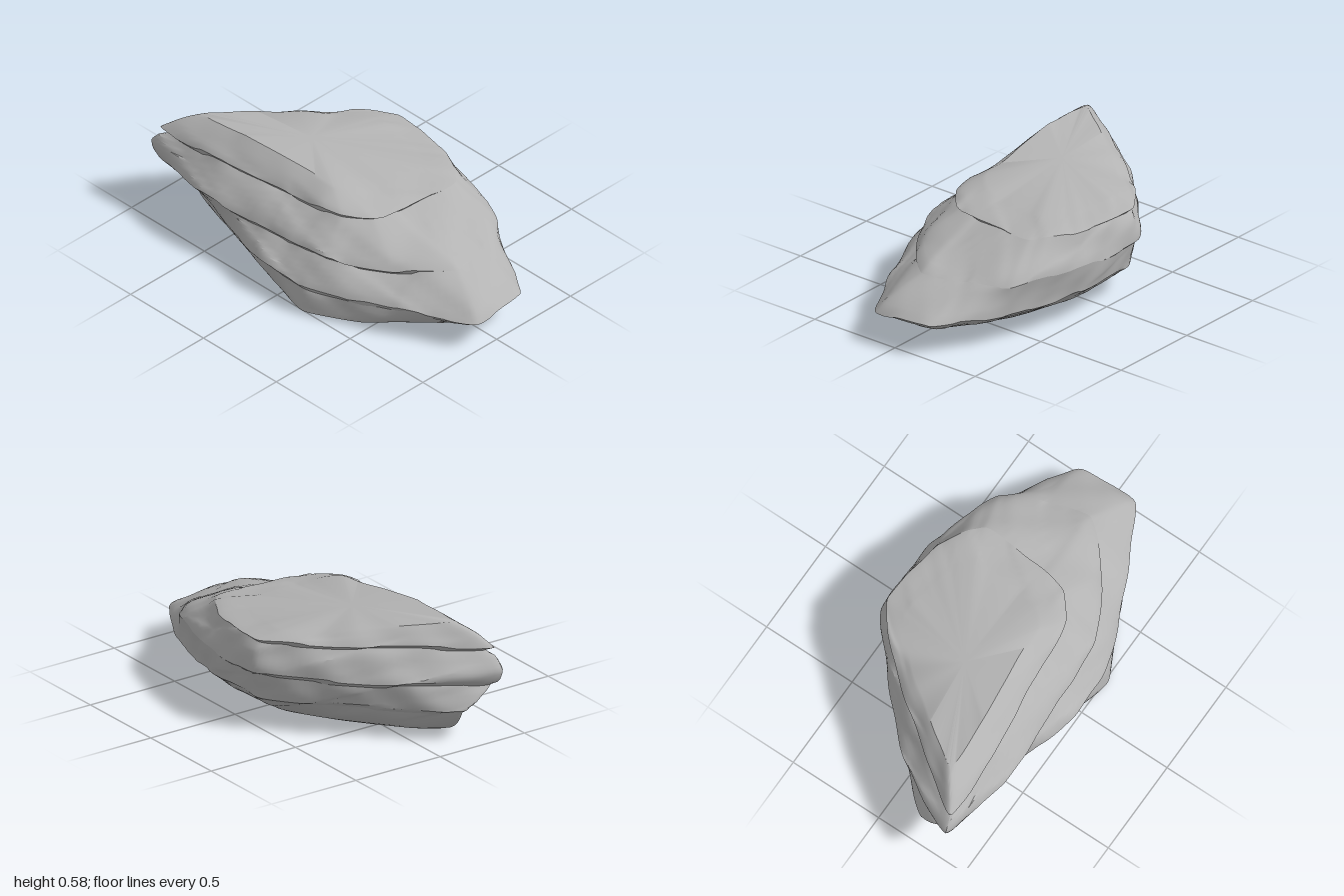
import * as THREE from 'three';
import { toCreasedNormals } from 'three/addons/utils/BufferGeometryUtils.js';

const { lerp, smoothstep } = THREE.MathUtils;
const AROUND = 144; // samples around each ring
const ROWS = 8; // bands up each layer

// Softly rounded closed outline through x,z pairs: left tip, front, right end, back
function outline(...xz) {
  const pts = [];
  for (let i = 0; i < xz.length; i += 2) pts.push(new THREE.Vector3(xz[i], 0, xz[i + 1]));
  const curve = new THREE.CatmullRomCurve3(pts, true, 'catmullrom', 0.25);
  return Array.from({ length: AROUND }, (_, i) => curve.getPoint(i / AROUND));
}

// Worn stone: gentle bumps plus stepped breaks that run along the ledges
function weather({ x, y, z }) {
  const bump = 0.004 * Math.sin(9 * x + 14 * y + 3 * z) + 0.004 * Math.sin(17 * z - 11 * x + 23 * y)
    + 0.002 * Math.sin(31 * x + 19 * z + 40 * y);
  const steps = Math.tanh(5 * Math.sin(8 * x - 5 * z + 30 * y)) + 0.6 * Math.tanh(5 * Math.sin(19 * x + 13 * z + 17 * y));
  const breaks = smoothstep(y, 0.03, 0.13) * (1 - smoothstep(y, 0.46, 0.52));
  const r = Math.hypot(x, z);
  return new THREE.Vector3(x + (x / r) * bump, y + 0.006 * steps * breaks + 0.4 * bump, z + (z / r) * bump);
}

// Skin over a list of rows, optionally fanned to a bottom or top point
function skin(rows, bottom, top) {
  const pos = [];
  const tri = (...v) => v.forEach((p) => pos.push(p.x, p.y, p.z));
  const last = rows[rows.length - 1];
  for (let i = 0; i < AROUND; i++) {
    const j = (i + 1) % AROUND;
    for (let k = 0; k < rows.length - 1; k++) {
      const a = rows[k], b = rows[k + 1];
      tri(a[i], a[j], b[j]);
      tri(a[i], b[j], b[i]);
    }
    if (bottom) tri(rows[0][j], rows[0][i], bottom);
    if (top) tri(last[i], last[j], top);
  }
  const geometry = new THREE.BufferGeometry();
  geometry.setAttribute('position', new THREE.Float32BufferAttribute(pos, 3));
  return toCreasedNormals(geometry, 0.6);
}

export function createModel() {
  const rock = new THREE.Group();
  rock.name = 'layeredRock';
  const stone = new THREE.MeshStandardMaterial({ color: 0xb3b3b3 });
  stone.name = 'grey stone';

  // Main outlines, from the ground up
  const foot = outline(-0.76, 0.22, -0.45, 0.32, -0.13, 0.42, 0.2, 0.52, 0.48, 0.37, 0.62, 0.14,
    0.55, -0.1, 0.4, -0.22, 0.15, -0.28, -0.15, -0.28, -0.38, -0.16, -0.66, 0.06);
  const lower = outline(-0.93, 0.21, -0.59, 0.36, -0.12, 0.51, 0.2, 0.51, 0.62, 0.33, 0.99, 0.13,
    0.97, -0.19, 0.6, -0.4, 0.2, -0.51, -0.19, -0.49, -0.48, -0.26, -0.77, 0.03);
  const upper = outline(-0.96, 0.37, -0.58, 0.46, -0.12, 0.44, 0.24, 0.41, 0.54, 0.25, 0.77, 0.03,
    0.7, -0.2, 0.6, -0.4, 0.2, -0.53, -0.2, -0.53, -0.5, -0.29, -0.78, 0);
  const cap = outline(-0.93, 0.37, -0.57, 0.37, -0.12, 0.31, 0.2, 0.27, 0.33, 0.17, 0.37, 0,
    0.38, -0.18, 0.38, -0.33, 0.18, -0.46, -0.19, -0.51, -0.47, -0.26, -0.71, 0.05);

  // Rim of the sloping top, highest at the front left
  const crown = cap.map((p) => {
    const q = p.clone().lerp(new THREE.Vector3(-0.3, 0, -0.05), 0.28);
    q.y = Math.max(0.49, 0.58 - 0.17 * Math.max(0, 0.22 - q.z) - 0.08 * Math.abs(q.x + 0.48));
    return q;
  });
  const bottomPoint = new THREE.Vector3(0, 0, 0.1);
  const topPoint = new THREE.Vector3(-0.27, 0.545, 0);

  // Each layer blends from one outline toward the next; inset leaves a ledge under the layer above
  const layers = [
    { name: 'baseLayer', from: foot, to: lower, y0: 0.018, y1: 0.135, reach: 0.9, power: 0.7, inset: 0.02, bottom: bottomPoint },
    { name: 'lowerLayer', from: lower, to: upper, y0: 0.157, y1: 0.275, reach: 1, power: 1.2, inset: 0.04 },
    { name: 'upperLayer', from: upper, to: cap, y0: 0.297, y1: 0.435, reach: 1, power: 1.3, inset: 0.05, tip: 0.045 },
    { name: 'capLayer', from: cap, to: crown, y0: 0.457, reach: 1, power: 1.2, inset: 0, top: topPoint },
  ];

  let ledge = null; // top edge of the layer below
  for (const { name, from, to, y0, y1, reach, power, inset, tip = 0, bottom, top } of layers) {
    const rows = [];
    for (let k = 0; k <= ROWS; k++) {
      const s = k / ROWS;
      rows.push(from.map((p, i) => {
        // ledges close up toward the back right
        const closed = smoothstep(to[i].x - to[i].z, 0.25, 0.65);
        const q = p.clone().lerp(to[i], lerp(reach, 1, closed) * s ** power);
        const bulge = tip * Math.sin(Math.PI * s) * smoothstep(-q.x, 0.7, 0.95);
        q.multiplyScalar(1 - inset * s * s * (1 - closed) + bulge);
        q.y = lerp(y0, y1 === undefined ? to[i].y : y1 + 0.022 * closed, s);
        return weather(q);
      }));
    }
    if (ledge) rows.unshift(ledge); // overhanging underside
    ledge = rows[rows.length - 1];
    const mesh = new THREE.Mesh(skin(rows, bottom, top), stone);
    mesh.name = name;
    rock.add(mesh);
  }
  return rock;
}
